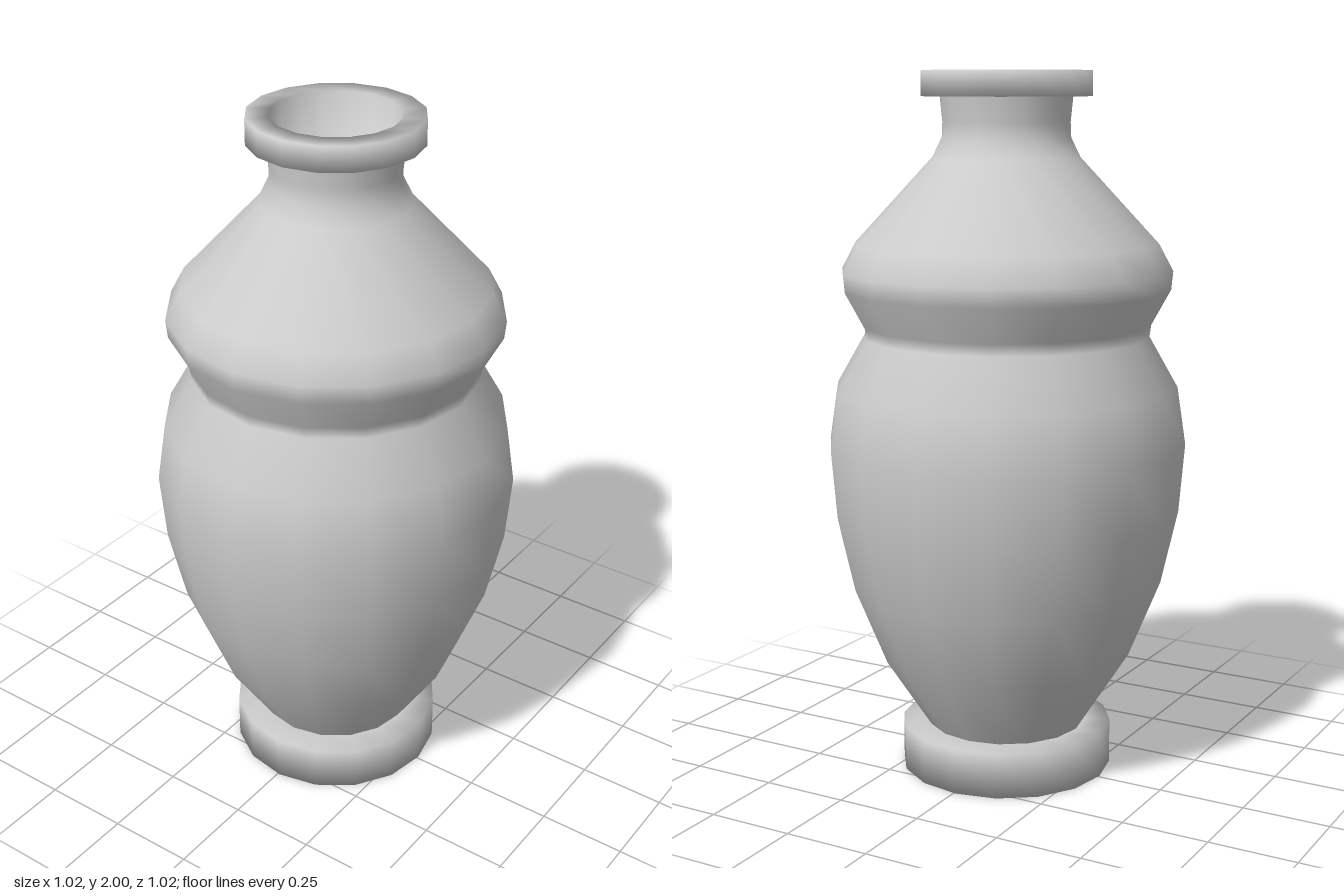
import * as THREE from 'three';

const SIDES = 16;

// Smooth turned part from [radius, height] pairs, listed bottom to top on the outside
function turned(name, profile, material) {
  const points = profile.map(([r, y]) => new THREE.Vector2(r, y));
  const mesh = new THREE.Mesh(new THREE.LatheGeometry(points, SIDES), material);
  mesh.name = name;
  return mesh;
}

export function createModel() {
  const vase = new THREE.Group();
  vase.name = 'vase';
  const material = new THREE.MeshStandardMaterial({ color: 0xcccccc });

  // Round foot with a closed underside and a ledge around the body
  vase.add(turned('foot', [[0, 0], [0.305, 0], [0.305, 0.13], [0.228, 0.13]], material));

  // Bulging belly, pinched waist, shoulder ring and neck
  vase.add(turned('body', [
    [0.228, 0.13], [0.357, 0.33], [0.447, 0.553], [0.494, 0.765], [0.51, 0.96],
    [0.485, 1.125], [0.404, 1.267], [0.408, 1.3], [0.462, 1.4], [0.467, 1.452],
    [0.427, 1.527], [0.206, 1.765], [0.18, 1.818], [0.178, 1.86], [0.185, 1.93],
  ], material));

  // Flat lip and the recessed mouth with its floor
  vase.add(turned('rim', [
    [0.185, 1.93], [0.238, 1.93], [0.238, 2], [0.175, 2], [0.172, 1.82], [0, 1.82],
  ], material));

  vase.rotation.y = 0.022;
  return vase;
}
